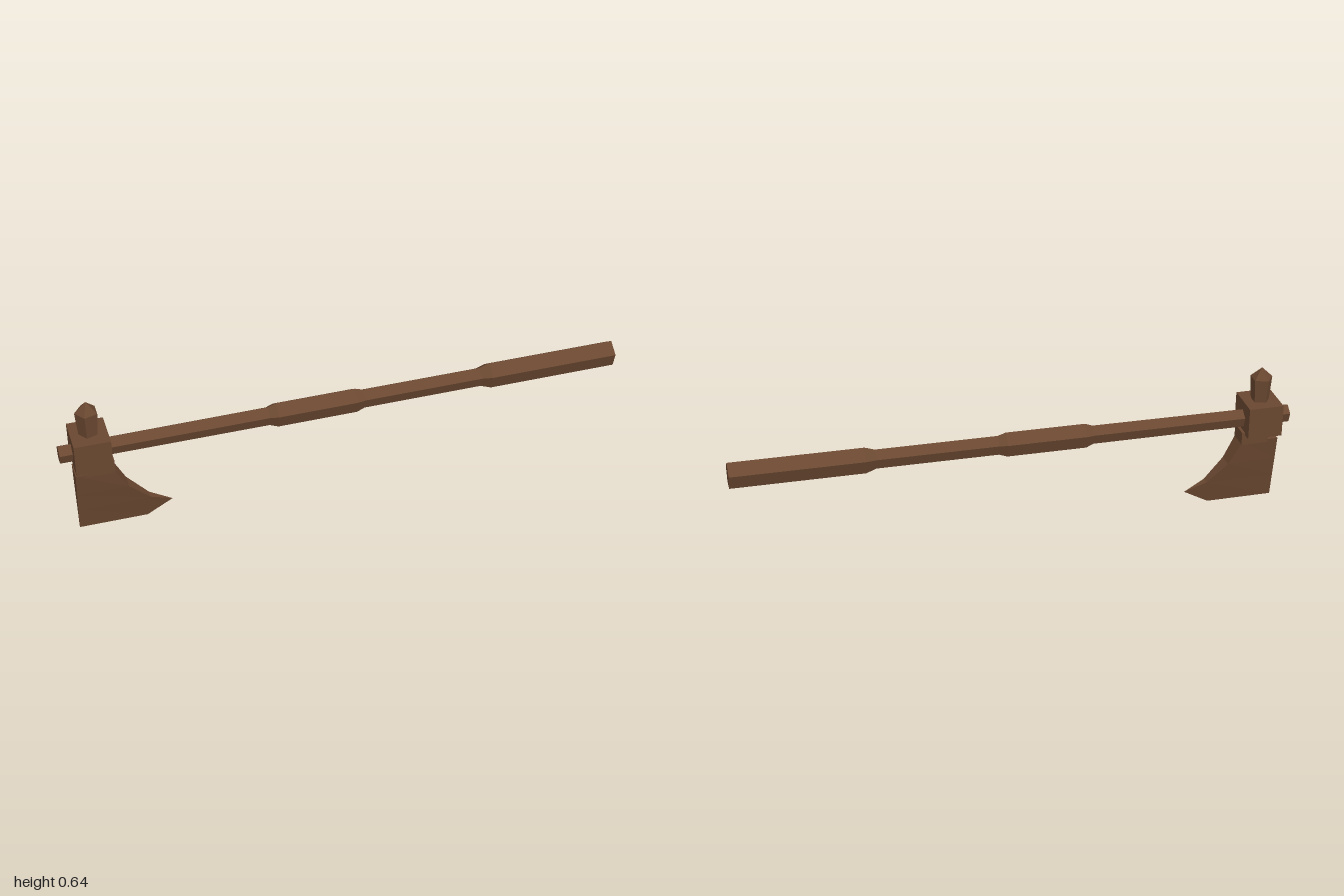
import * as THREE from 'three';

const wood = new THREE.MeshStandardMaterial({ color: 0x694730, flatShading: true });
wood.name = 'brown';

function part(name, geometry) {
  const mesh = new THREE.Mesh(geometry, wood);
  mesh.name = name;
  return mesh;
}

// Five-sided turned shape along y, with one corner towards -x
function pentagonal(profile) {
  const points = profile.map(([r, y]) => new THREE.Vector2(r, y));
  return new THREE.LatheGeometry(points, 5).rotateY(-Math.PI / 2);
}

// Wedge blade: rows of [y, back x, front x, half thickness at back, at front]
function bladeGeometry() {
  const rows = [
    [0.31, -1.185, -1.025, 0.046, 0.044],
    [0.2, -1.185, -0.965, 0.03, 0.034],
    [0.11, -1.185, -0.875, 0.016, 0.018],
    [0.003, -1.185, -0.89, 0, 0],
  ].map(([y, back, front, tb, tf]) => [
    [back, y, tb], [front, y, tf], [front, y, -tf], [back, y, -tb],
  ]);
  const tip = [-0.778, 0.065, 0];
  const positions = [];
  const tri = (...corners) => corners.forEach((c) => positions.push(...c));
  const quad = (a, b, c, d) => { tri(a, b, c); tri(a, c, d); };

  quad(...rows[0]);
  for (let r = 0; r < 3; r++) {
    const up = rows[r], low = rows[r + 1];
    for (let i = 0; i < 4; i++) {
      if (r === 2 && i === 1) continue; // closed by the beard tip below
      const j = (i + 1) % 4;
      quad(up[i], low[i], low[j], up[j]);
    }
  }
  // Pointed beard
  const [, b, c] = rows[2], edge = rows[3][1];
  tri(b, edge, tip);
  tri(c, tip, edge);
  tri(b, tip, c);

  const geometry = new THREE.BufferGeometry();
  geometry.setAttribute('position', new THREE.Float32BufferAttribute(positions, 3));
  geometry.computeVertexNormals();
  return geometry;
}

export function createModel() {
  const axe = new THREE.Group();
  axe.name = 'axe';

  // Shaft with a thicker middle band and end grip, rising slightly to the grip
  const handle = part('handle', pentagonal([
    [0, -1.24], [0.04, -1.24], [0.042, -0.345], [0.055, -0.31],
    [0.055, 0.04], [0.043, 0.075], [0.043, 0.605], [0.058, 0.65],
    [0.058, 1.225], [0, 1.225],
  ]).rotateZ(-Math.PI / 2));
  handle.position.y = 0.415;
  handle.rotation.z = 0.006;
  axe.add(handle);

  // Head block around the shaft
  const block = part('headBlock', new THREE.BoxGeometry(0.155, 0.145, 0.175));
  block.position.set(-1.108, 0.417, 0);
  axe.add(block);

  // Spike on top of the head
  const spike = part('topSpike', pentagonal([
    [0, 0.47], [0.04, 0.47], [0.05, 0.597], [0, 0.645],
  ]));
  spike.position.x = -1.108;
  axe.add(spike);

  // Neck joining block and blade
  const neck = part('bladeNeck', new THREE.BoxGeometry(0.122, 0.06, 0.09));
  neck.position.set(-1.079, 0.325, 0);
  axe.add(neck);

  axe.add(part('blade', bladeGeometry()));

  // The whole axe lies diagonally
  axe.rotation.y = -0.661;
  const model = new THREE.Group();
  model.name = 'model';
  model.add(axe);
  return model;
}
